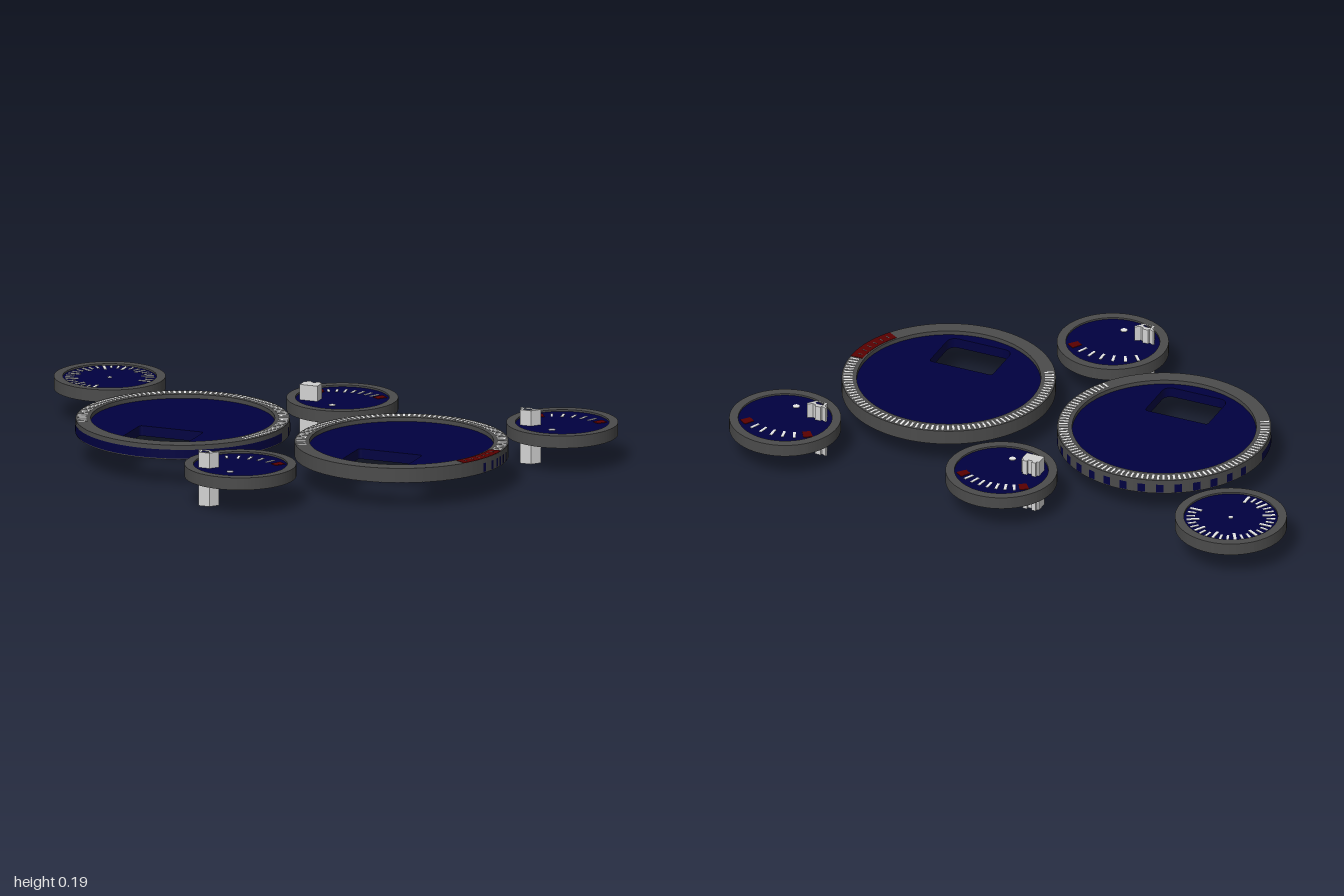
import * as THREE from 'three';
import { mergeGeometries } from 'three/addons/utils/BufferGeometryUtils.js';

const material = (name, color) => {
  const m = new THREE.MeshStandardMaterial({ color });
  m.name = name;
  return m;
};
const RAD = Math.PI / 180;
const BASE = 0.095;

export function createModel() {
  const bezelGrey = material('bezel grey', 0x4b4b4b);
  const dialBlue = material('dial blue', 0x000040);
  const tickWhite = material('tick white', 0xffffff);
  const warningRed = material('warning red', 0x5a0000);
  const iconGrey = material('icon grey', 0xd2d2d2);
  const undersideGrey = material('underside grey', 0xb0b0b0);
  const model = new THREE.Group();
  model.name = 'instrumentCluster';

  const add = (parent, name, geometry, mat) => {
    const mesh = new THREE.Mesh(geometry, mat);
    mesh.name = name;
    parent.add(mesh);
    return mesh;
  };

  // Plan shape (shape y points to -z) raised between two heights
  const slab = (shape, y0, y1) => new THREE.ExtrudeGeometry(shape, { depth: y1 - y0, bevelEnabled: false, curveSegments: 48 })
    .rotateX(-Math.PI / 2).translate(0, y0, 0);
  const disc = (r, y0, y1, sides = 64) => new THREE.CylinderGeometry(r, r, y1 - y0, sides).translate(0, (y0 + y1) / 2, 0);
  const ringShape = (r0, r1) => {
    const s = new THREE.Shape().absarc(0, 0, r1, 0, Math.PI * 2);
    s.holes.push(new THREE.Path().absarc(0, 0, r0, 0, Math.PI * 2));
    return s;
  };
  const sectorShape = (r0, r1, a0, a1) => new THREE.Shape()
    .absarc(0, 0, r1, a0 * RAD, a1 * RAD, false)
    .absarc(0, 0, r0, a1 * RAD, a0 * RAD, true);

  // Radial bars from angle a0 to a1 in degrees, around a centre shifted by cz
  const ticks = (count, a0, a1, r0, r1, width, y0, y1, cz = 0) => {
    const bars = [];
    for (let i = 0; i < count; i++) {
      const a = (a0 + (a1 - a0) * i / (count - 1)) * RAD;
      bars.push(new THREE.BoxGeometry(r1 - r0, y1 - y0, width)
        .translate((r0 + r1) / 2, (y0 + y1) / 2, 0).rotateY(a).translate(0, 0, cz));
    }
    return mergeGeometries(bars);
  };
  // Marks printed on the underside
  const undersideMarks = (count, a0, a1, r0, r1, width) => ticks(count, a0, a1, r0, r1, width, BASE - 0.001, BASE + 0.002);

  // Thin strip on the outer wall, angles measured from +z towards +x
  const wallStrip = (start, length) => new THREE.CylinderGeometry(0.3595, 0.3595, 0.03, 32, 1, true, start * RAD, length * RAD)
    .translate(0, BASE + 0.019, 0);

  const gauge = (name, x, z) => {
    const g = new THREE.Group();
    g.name = name;
    g.position.set(x, 0, z);
    model.add(g);
    return g;
  };

  // Large gauges: dial with a display window, and a bezel carrying the scale
  const largeGauge = (name, x) => {
    const g = gauge(name, x, 0.009);
    const dial = new THREE.Shape().absarc(0, 0, 0.31, 0, Math.PI * 2);
    const l = -0.115, r = 0.115, t = -0.096, b = -0.268, c = 0.035;
    const hole = new THREE.Path();
    hole.moveTo(l + 0.012, t).lineTo(r - 0.012, t).quadraticCurveTo(r, t, r, t - 0.012);
    hole.lineTo(r, b + c).quadraticCurveTo(r, b, r - c, b);
    hole.lineTo(l + c, b).quadraticCurveTo(l, b, l, b + c);
    hole.lineTo(l, t - 0.012).quadraticCurveTo(l, t, l + 0.012, t);
    dial.holes.push(hole);
    add(g, 'dial', slab(dial, BASE, 0.13), dialBlue);
    add(g, 'bezel', slab(ringShape(0.308, 0.358), BASE, 0.1445), bezelGrey);
    add(g, 'scale', ticks(81, -30, 210, 0.322, 0.352, 0.007, 0.143, 0.1453), tickWhite);
    add(g, 'undersideBlueMarks', undersideMarks(72, 0, 355, 0.309, 0.356, 0.013), dialBlue);
    add(g, 'undersideGreyMarks', undersideMarks(72, 2.5, 357.5, 0.322, 0.354, 0.008), undersideGrey);
    return g;
  };
  const speed = largeGauge('leftLargeGauge', -0.372);
  add(speed, 'wallBand', wallStrip(-90, 180), dialBlue);
  for (let a = 100; a < 260; a += 10) add(speed, 'wallStripe', wallStrip(a, 4), dialBlue);

  const revs = largeGauge('rightLargeGauge', 0.419);
  for (const a of [72, 79, 84, 88, 92, 97, 105]) add(revs, 'wallStripe', wallStrip(a, 2), dialBlue);
  add(revs, 'redZone', slab(sectorShape(0.314, 0.357, -32, 1), 0.143, 0.1458), warningRed);
  add(revs, 'redZoneTicks', ticks(6, -28, -3, 0.325, 0.342, 0.004, 0.145, 0.1463), bezelGrey);

  // Small gauges: grey cup with a pale underside and a blue face
  const smallGauge = (name, x, z) => {
    const g = gauge(name, x, z);
    add(g, 'cup', disc(0.186, BASE + 0.0005, 0.129), bezelGrey);
    add(g, 'underside', disc(0.175, BASE - 0.0003, BASE + 0.002), undersideGrey);
    add(g, 'bezel', slab(ringShape(0.157, 0.187), BASE + 0.001, 0.138), bezelGrey);
    add(g, 'face', disc(0.158, 0.127, 0.132), dialBlue);
    return g;
  };

  const clock = smallGauge('clockGauge', -0.815, -0.428);
  add(clock, 'minorScale', ticks(28, 0, 270, 0.12, 0.149, 0.008, 0.131, 0.1335), tickWhite);
  add(clock, 'majorScale', ticks(10, 0, 270, 0.106, 0.149, 0.01, 0.131, 0.1337), tickWhite);
  add(clock, 'pivot', disc(0.008, 0.131, 0.134, 16), tickWhite);
  add(clock, 'undersideDarkRays', undersideMarks(28, 0, 347, 0.03, 0.16, 0.008), bezelGrey);
  add(clock, 'undersideWhiteRays', undersideMarks(28, 6.4, 353.4, 0.05, 0.15, 0.006), tickWhite);

  // Fan scale swung about a pivot low on the face
  const fanGauge = (name, x, z, count, a0, a1, redStarts) => {
    const g = smallGauge(name, x, z);
    const cz = 0.09;
    add(g, 'scale', ticks(count, a0, a1, 0.171, 0.208, 0.009, 0.131, 0.1335, cz), tickWhite);
    add(g, 'pivot', disc(0.0115, 0.131, 0.134, 20).translate(0, 0, cz), tickWhite);
    for (const a of redStarts) {
      add(g, 'redMark', slab(sectorShape(0.171, 0.208, a, a + 9), 0.131, 0.1338).translate(0, 0, cz), warningRed);
    }
    return g;
  };
  const battery = fanGauge('batteryGauge', 0.01, -0.466, 7, 64, 116, [50, 121]);
  const oilPressure = fanGauge('oilPressureGauge', 0.812, -0.448, 5, 67.5, 112.5, [50, 121]);
  const oilHeat = fanGauge('oilTemperatureGauge', 0.023, 0.464, 6, 67.5, 128, [50]);
  add(battery, 'undersideRays', undersideMarks(24, 0, 345, 0.03, 0.165, 0.012), dialBlue);
  add(oilHeat, 'undersideRays', undersideMarks(24, 0, 345, 0.03, 0.165, 0.015), warningRed);

  // Battery symbol as a tall post with two terminals
  const box = (w, d, x, z) => new THREE.BoxGeometry(w, 0.185, d).translate(x, 0.0925, z);
  add(battery, 'batteryIcon', mergeGeometries([
    box(0.064, 0.042, -0.096, 0.044), box(0.016, 0.012, -0.112, 0.019), box(0.016, 0.012, -0.08, 0.019),
  ]), iconGrey);

  // Oil can symbol: hollow body with a spout, also a tall post
  const points = (list) => list.map(([x, y]) => new THREE.Vector2(x, y));
  const can = new THREE.Shape(points([
    [-0.037, 0.012], [-0.034, 0.018], [-0.018, 0.01], [-0.016, 0.018], [0.004, 0.018],
    [0.006, 0.01], [0.016, 0.006], [0.034, 0.017], [0.037, 0.011], [0.014, -0.018], [-0.026, -0.018], [-0.026, 0.003],
  ]));
  can.holes.push(new THREE.Path(points([[-0.018, 0.001], [0.003, 0.001], [0.011, -0.004], [0.007, -0.011], [-0.018, -0.011]])));
  const canGeometry = slab(can, 0, 0.185);
  add(oilPressure, 'oilCanIcon', canGeometry, iconGrey).position.set(-0.097, 0, 0.054);
  add(oilHeat, 'oilCanIcon', canGeometry, iconGrey).position.set(-0.094, 0, 0.06);

  return model;
}
